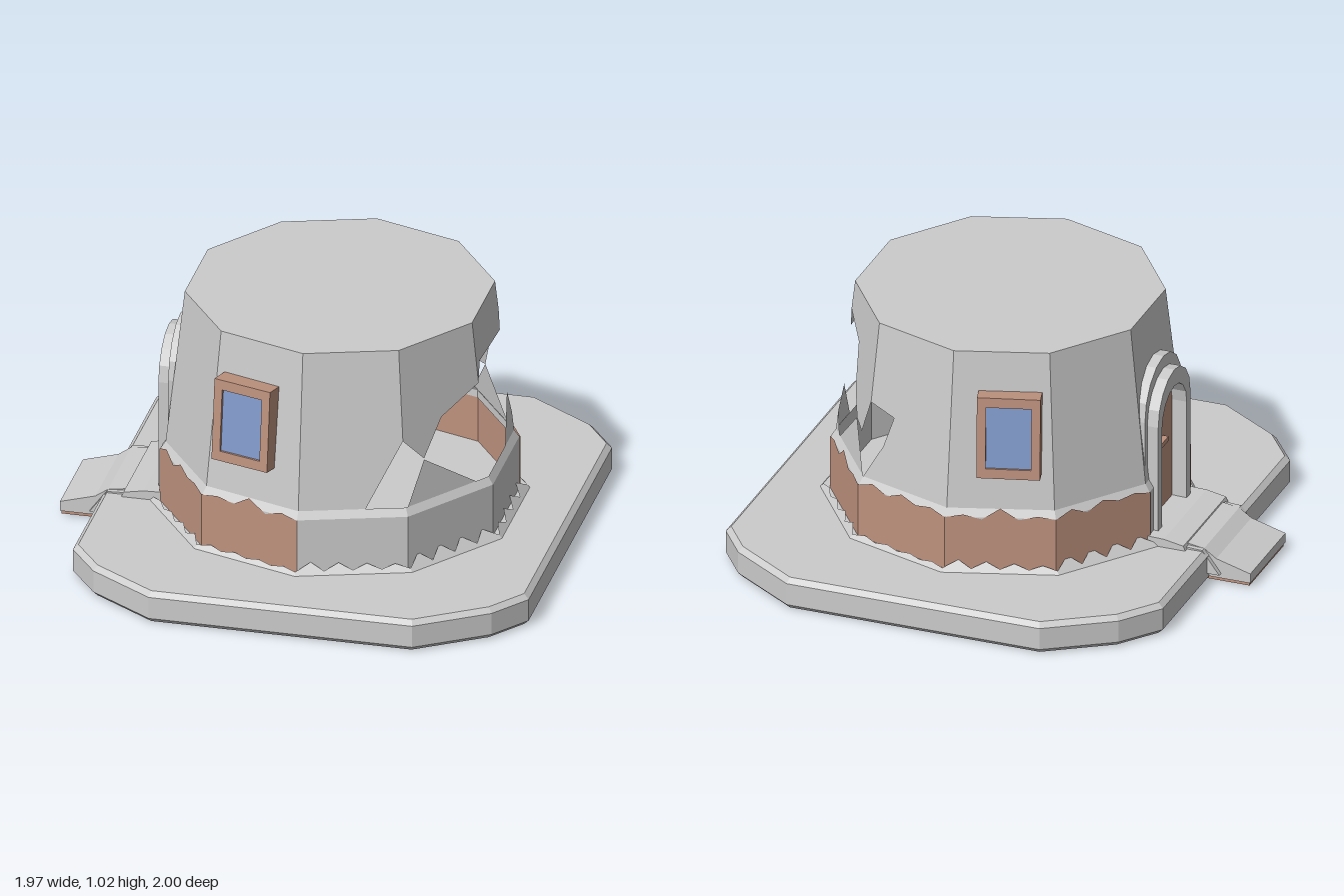
import * as THREE from 'three';

const CX = 0.07; // tower axis
const STEP = Math.PI / 5; // ten-sided tower
const mat = (color) => new THREE.MeshStandardMaterial({ color, flatShading: true, side: THREE.DoubleSide });

export function createModel() {
  const root = new THREE.Group();
  const stone = mat(0xcccccc), wood = mat(0xbe927e), glass = mat(0x839dcd);

  const add = (name, geometry, material, parent = root) => {
    const mesh = new THREE.Mesh(geometry, material);
    mesh.name = name;
    parent.add(mesh);
    return mesh;
  };
  const shapeOf = (pts) => new THREE.Shape(pts.map(([x, y]) => new THREE.Vector2(x, y)));

  // Flat outline in (u, y) laid on side i of the tower; u runs -1..1 from edge to edge
  const facet = (name, i, pts, radius, material) => {
    const g = new THREE.ShapeGeometry(shapeOf(pts.map(([u, y]) => [-u, y])));
    const p = g.attributes.position, a = i * STEP;
    for (let k = 0; k < p.count; k++) {
      const u = -p.getX(k), y = p.getY(k), r = radius(y);
      const n = r * Math.cos(STEP / 2), t = u * r * Math.sin(STEP / 2);
      p.setXYZ(k, CX + n * Math.cos(a) - t * Math.sin(a), y, n * Math.sin(a) + t * Math.cos(a));
    }
    g.computeVertexNormals();
    add(name, g, material);
  };

  // Base slab with cut corners
  const half = [[-0.82, 0.67], [-0.7, 0.83], [-0.44, 1], [0.6, 1], [0.87, 0.82], [0.98, 0.67]];
  const outline = [...half, ...half.map(([x, z]) => [x, -z]).reverse()];
  const slab = new THREE.ExtrudeGeometry(shapeOf(outline), {
    depth: 0.09, bevelEnabled: true, bevelThickness: 0.02, bevelSize: 0.02, bevelOffset: -0.02, bevelSegments: 1,
  });
  slab.rotateX(-Math.PI / 2).translate(0, 0.02, 0);
  add('baseSlab', slab, stone);

  // Door steps: side profiles extruded across the path
  const across = (name, pts, halfWidth) => {
    const g = new THREE.ExtrudeGeometry(shapeOf(pts), { depth: halfWidth * 2, bevelEnabled: false });
    add(name, g.translate(0, 0, -halfWidth), stone);
  };
  across('lowerStep', [[-0.99, 0.02], [-0.7, 0.02], [-0.7, 0.15], [-0.8, 0.135], [-0.85, 0.1], [-0.99, 0.06]], 0.185);
  across('middleStep', [[-0.87, 0.04], [-0.7, 0.04], [-0.7, 0.14], [-0.8, 0.135]], 0.205);
  across('upperStep', [[-0.75, 0.1], [-0.5, 0.1], [-0.5, 0.17], [-0.65, 0.165], [-0.73, 0.15]], 0.225);
  add('stepUnderside', new THREE.BoxGeometry(0.2, 0.014, 0.36).translate(-0.885, 0.014, 0), wood);

  // Tower walls, with broken outlines on the ruined sides
  const wallR = (y) => 0.67 - (y - 0.38) * 0.115;
  const TOP = 1.02, LOW = 0.38;
  const full = [[-1, LOW], [1, LOW], [1, TOP], [-1, TOP]];
  const broken = {
    0: [[-1, TOP], [1, TOP], [1, 0.77], [0.75, 0.84], [0, 0.83], [-0.9, 0.82], [-1, 0.9]],
    1: [[-1, TOP], [1, TOP], [1, 0.65], [0.5, 0.55], [0, 0.69], [-1, 0.77]],
    2: [[-1, TOP], [1, TOP], [1, LOW], [-0.25, LOW], [-1, 0.65]],
    5: [[-1, TOP], [1, TOP], [1, LOW], [0.75, LOW], [0.75, 0.65], [0.4, 0.76],
      [-0.4, 0.76], [-0.75, 0.65], [-0.75, LOW], [-1, LOW]],
    8: [[-1, TOP], [-1, LOW], [1, LOW], [0.6, 0.53], [0.4, 0.66], [1, 0.69], [1, TOP]],
    9: [[-1, TOP], [1, TOP], [1, 0.9], [0.25, 0.83], [0.1, 0.65], [-0.2, 0.55], [-0.6, 0.53], [-1, 0.69]],
  };
  const shards = [
    [0, [[-1, LOW], [-0.3, LOW], [-0.85, 0.56], [-1, 0.46]]],
    [1, [[-0.7, LOW], [0.95, LOW], [0.5, 0.545]]],
    [9, [[-0.95, LOW], [0.7, LOW], [-0.2, 0.55]]],
    [9, [[0.75, LOW], [1, LOW], [1, 0.46]]],
  ];
  for (let i = 0; i < 10; i++) facet('wallSide', i, broken[i] || full, wallR, stone);
  shards.forEach(([i, pts]) => facet('wallShard', i, pts, wallR, stone));

  // Flat lid
  const lid = new THREE.CircleGeometry(wallR(TOP), 10, STEP / 2);
  add('lid', lid.rotateX(-Math.PI / 2).translate(CX, TOP, 0), stone);

  // Foot band: plain stone or ragged timber, with a sloping ledge and crumbled plaster
  const bandR = () => 0.69;
  const woodR = () => 0.694;
  const ledgeR = (y) => 0.69 - (y - 0.35) * 0.67;
  const skirtR = (y) => 0.735 - (y - 0.125) * 0.9;
  const timber = [3, 4, 6, 7, 8, 9];
  const quad = (u0, u1, y0, y1) => [[u0, y0], [u1, y0], [u1, y1], [u0, y1]];
  for (let i = 0; i < 10; i++) {
    const spans = i === 5 ? [[-1, -0.75], [0.75, 1]] : [[-1, 1]];
    for (const [u0, u1] of spans) {
      facet('bandLedge', i, quad(u0, u1, 0.35, LOW), ledgeR, stone);
      facet('footBand', i, quad(u0, u1, timber.includes(i) ? 0.32 : 0.12, 0.35), bandR, stone);
    }
    if (timber.includes(i)) {
      const teeth = [0.345, 0.37, 0.345, 0.385, 0.35, 0.365, 0.345];
      const ragged = teeth.map((y, k) => [1 - k / 3, y + 0.008 * Math.sin(i * 3 + k * 2)]);
      ragged[0][1] = ragged[6][1] = 0.35;
      facet('timberBand', i, [[-1, 0.12], [1, 0.12], ...ragged], woodR, wood);
    }
    if (i !== 5) {
      const crumbs = [];
      for (let k = 0; k <= 8; k++) crumbs.push([1 - k / 4, k % 2 ? 0.165 + 0.015 * Math.sin(i * 5 + k * 3) : 0.143]);
      facet('plasterSkirt', i, [[-1, 0.125], [1, 0.125], ...crumbs], skirtR, stone);
    }
  }

  // Arched doorway on the right side
  const arch = (w, top, bottom) => {
    const pts = [[w, bottom]];
    for (let k = 0; k <= 8; k++) {
      const a = (k / 8) * Math.PI;
      pts.push([w * Math.cos(a), top - w + w * Math.sin(a)]);
    }
    return [...pts, [-w, bottom]];
  };
  const doorway = new THREE.Group();
  doorway.name = 'doorway';
  root.add(doorway);
  const archPart = (name, pts, xIn, xOut, material) => {
    const g = new THREE.ExtrudeGeometry(shapeOf(pts), { depth: xIn - xOut, bevelEnabled: false });
    add(name, g.rotateY(-Math.PI / 2).translate(xIn, 0, 0), material, doorway);
  };
  const ring = (w, top, wIn, topIn) => [...arch(w, top, 0.13), ...arch(wIn, topIn, 0.13).reverse()];
  archPart('outerArch', ring(0.195, 0.83, 0.15, 0.76), -0.49, -0.56, stone);
  archPart('innerArch', ring(0.17, 0.78, 0.13, 0.71), -0.475, -0.605, stone);
  archPart('door', arch(0.135, 0.715, 0.14), -0.515, -0.545, wood);
  for (const x of [-0.555, -0.505]) {
    add('doorHandle', new THREE.BoxGeometry(0.025, 0.02, 0.07).translate(x, 0.46, 0), wood, doorway);
  }

  // Front and back windows, leaning with the wall
  for (const s of [1, -1]) {
    const win = new THREE.Group();
    win.name = s > 0 ? 'frontWindow' : 'backWindow';
    win.position.set(-0.155, 0.695, s * 0.585);
    win.rotation.set(s * -0.07, s > 0 ? -0.28 : Math.PI + 0.28, 0, 'YXZ');
    win.rotation.x = -0.07;
    for (const k of [1, -1]) {
      add('windowPost', new THREE.BoxGeometry(0.035, 0.335, 0.09).translate(k * 0.105, 0, 0), wood, win);
      add('windowRail', new THREE.BoxGeometry(0.175, 0.04, 0.09).translate(0, k * 0.1475, 0), wood, win);
    }
    add('windowBack', new THREE.BoxGeometry(0.175, 0.255, 0.03).translate(0, 0, -0.03), wood, win);
    add('windowGlass', new THREE.BoxGeometry(0.175, 0.255, 0.05).translate(0, 0, 0.01), glass, win);
    root.add(win);
  }
  return root;
}
